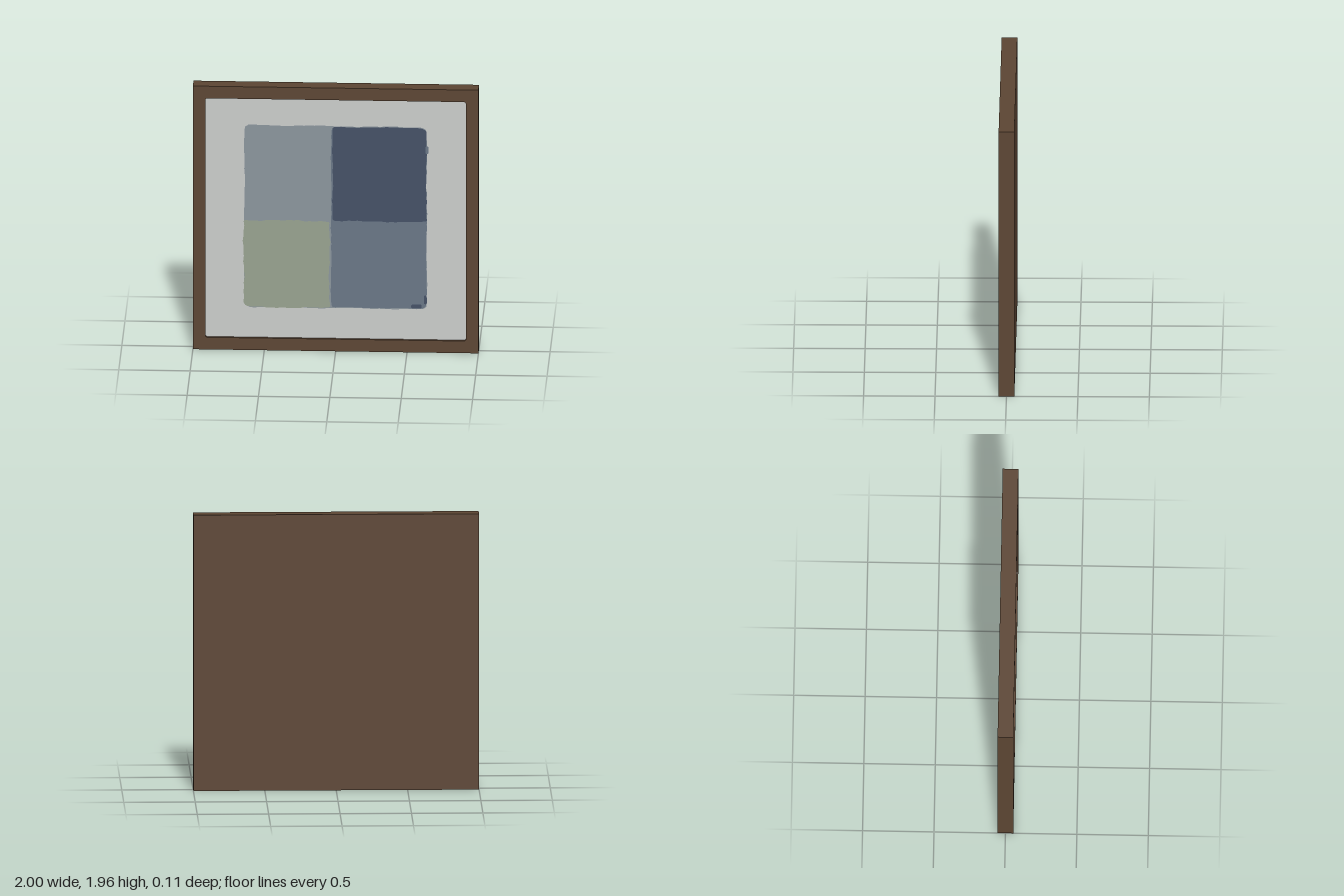
import * as THREE from 'three';

const mat = (name, color) => {
  const m = new THREE.MeshStandardMaterial({ color });
  m.name = name;
  return m;
};

// Rounded rectangle outline; radii run bottom left, bottom right, top right, top left
function roundedRect(path, x0, y0, x1, y1, [bl, br, tr, tl]) {
  path.moveTo(x0 + bl, y0);
  path.lineTo(x1 - br, y0);
  path.quadraticCurveTo(x1, y0, x1, y0 + br);
  path.lineTo(x1, y1 - tr);
  path.quadraticCurveTo(x1, y1, x1 - tr, y1);
  path.lineTo(x0 + tl, y1);
  path.quadraticCurveTo(x0, y1, x0, y1 - tl);
  path.lineTo(x0, y0 + bl);
  path.quadraticCurveTo(x0, y0, x0 + bl, y0);
  return path;
}

// Flat patch of paint with a slightly ragged, hand-brushed edge
function paintShape(x0, y0, x1, y1, radii, wobble, seed) {
  const outline = roundedRect(new THREE.Path(), x0, y0, x1, y1, radii);
  const cx = (x0 + x1) / 2, cy = (y0 + y1) / 2;
  const wave = t => (Math.sin(t * 13 + seed) + 0.6 * Math.sin(t * 37 + seed * 2.3)
    + 0.5 * Math.sin(t * 83 + seed * 4.1)) / 2;
  const pts = outline.getSpacedPoints(200).slice(0, -1).map(p => new THREE.Vector2(
    p.x + Math.sign(p.x - cx) * wobble * wave(p.y) * Math.min(1, Math.abs(p.x - cx) / (x1 - cx)),
    p.y + Math.sign(p.y - cy) * wobble * wave(p.x + 5) * Math.min(1, Math.abs(p.y - cy) / (y1 - cy))));
  return new THREE.ShapeGeometry(new THREE.Shape(pts));
}

export function createModel() {
  const group = new THREE.Group();
  const wood = mat('brown wood', 0x5c4533);
  const paper = mat('pale grey canvas', 0xcbcdcb);
  const mist = mat('misty blue paint', 0x8b959d);
  const sage = mat('sage paint', 0x98a390);
  const slate = mat('slate paint', 0x697686);
  const navy = mat('navy paint', 0x445066);

  const add = (name, geometry, material, z, y = 0) => {
    const mesh = new THREE.Mesh(geometry, material);
    mesh.name = name;
    mesh.position.set(0, y, z);
    group.add(mesh);
  };

  // Solid back and raised rim
  const W = 2, H = 1.96, D = 0.11, recess = 0.02;
  const face = D / 2 - recess;
  add('frameBack', new THREE.BoxGeometry(W, H, D - recess), wood, -recess / 2, H / 2);
  const rim = roundedRect(new THREE.Shape(), -W / 2, 0, W / 2, H, [0, 0, 0, 0]);
  rim.holes.push(roundedRect(new THREE.Path(), -0.912, 0.09, 0.912, 1.87, [0.015, 0.015, 0.015, 0.015]));
  add('frameRim', new THREE.ExtrudeGeometry(rim, { depth: recess, bevelEnabled: false }), wood, face);

  // Canvas inside the rim
  const canvas = roundedRect(new THREE.Shape(), -0.912, 0.09, 0.912, 1.87, [0.015, 0.015, 0.015, 0.015]);
  add('canvas', new THREE.ShapeGeometry(canvas), paper, face + 0.001);

  // Overlapping washes of paint, from the lowest layer up
  const washes = [
    ['mistBlock', mist, -0.64, 0.315, 0.637, 1.67, [0.06, 0.03, 0.04, 0.04], 0.005, 1],
    ['sageBlock', sage, -0.645, 0.315, -0.045, 0.962, [0.06, 0.01, 0.01, 0.01], 0.007, 4],
    ['slateBlock', slate, -0.032, 0.322, 0.635, 1.655, [0.01, 0.03, 0.04, 0.02], 0.004, 2],
    ['navyBlock', navy, -0.022, 0.965, 0.635, 1.665, [0.03, 0.015, 0.04, 0.02], 0.005, 7],
    ['lowerFleck', navy, 0.53, 0.322, 0.6, 0.352, [0.012, 0.012, 0.012, 0.012], 0.003, 3],
    ['sideFleck', navy, 0.618, 0.355, 0.638, 0.42, [0.008, 0.008, 0.008, 0.008], 0.002, 5],
    ['upperFleck', slate, 0.63, 1.475, 0.65, 1.53, [0.008, 0.008, 0.008, 0.008], 0.002, 6],
  ];
  washes.forEach(([name, material, x0, y0, x1, y1, radii, wobble, seed], i) =>
    add(name, paintShape(x0, y0, x1, y1, radii, wobble, seed), material, face + 0.002 + i * 0.001));

  return group;
}
